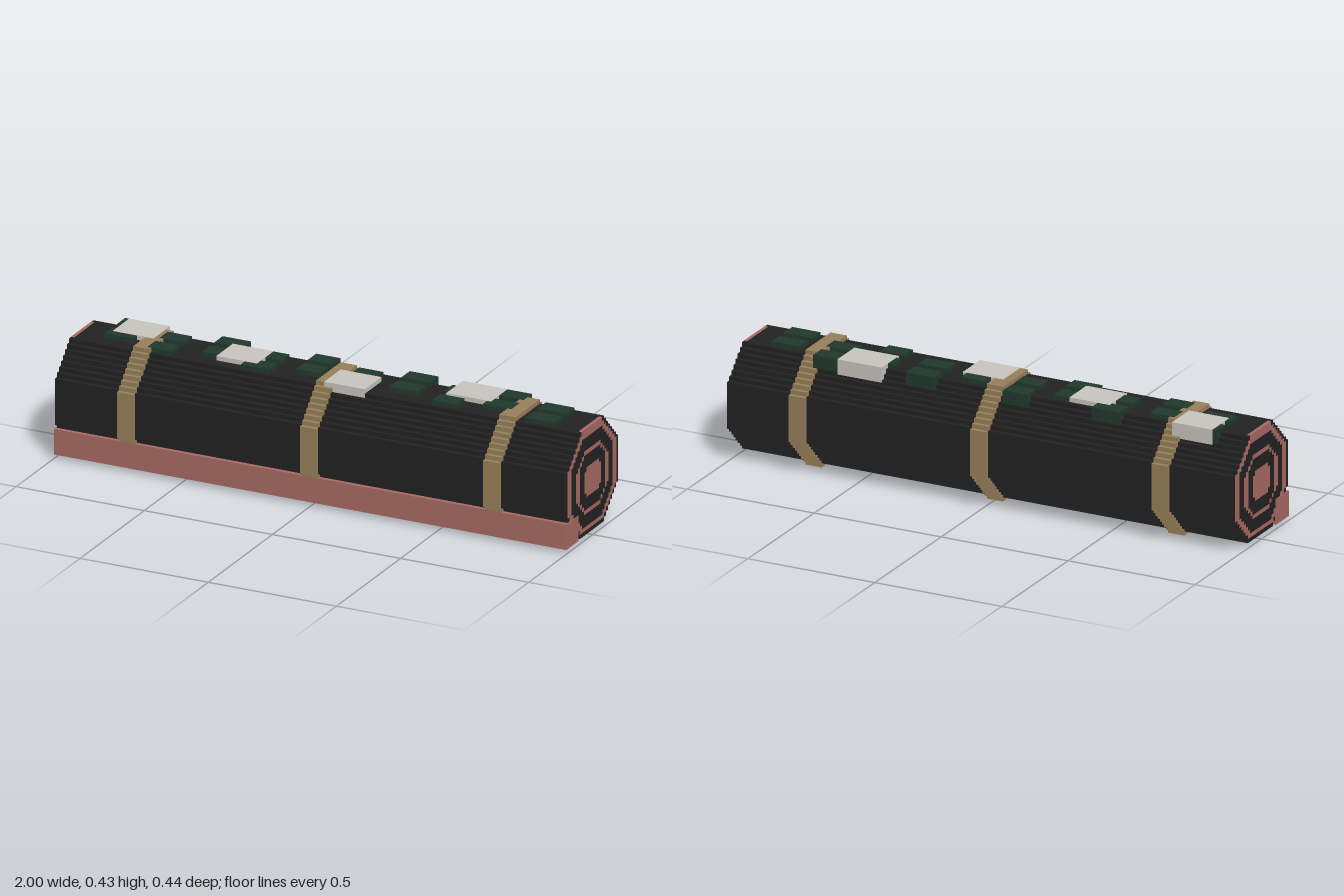
import * as THREE from 'three';

const U = 2 / 126; // size of one block; all numbers below are in blocks

const mat = (name, color) => {
  const m = new THREE.MeshStandardMaterial({ color });
  m.name = name;
  return m;
};

// Stepped octagon: rows j0..j1, half width grows one block per row up to max
function steppedOctagon(j0, j1, max, bottom, top) {
  const right = [], left = [];
  for (let j = j0; j <= j1; j++) {
    const w = Math.min(max, bottom + j - j0, top + j1 - j);
    right.push([w, j], [w, j + 1]);
    left.unshift([-w, j + 1], [-w, j]);
  }
  // drop repeated points along straight sides
  const all = [...right, ...left].filter((p, i, a) => !i || p[0] !== a[i - 1][0] || p[1] !== a[i - 1][1]);
  return new THREE.Shape(all.map(([x, y]) => new THREE.Vector2(x * U, y * U)));
}

export function createModel() {
  const model = new THREE.Group();
  model.name = 'log';
  const bark = mat('charcoal bark', 0x222222);
  const wood = mat('pink wood', 0xa96a64);
  const rope = mat('tan strap', 0x98805a);
  const moss = mat('dark green moss', 0x22392d);
  const pale = mat('pale patch', 0xc9c5be);

  const add = (name, geo, material) => {
    const mesh = new THREE.Mesh(geo, material);
    mesh.name = name;
    model.add(mesh);
  };
  // Profile swept along x from x0 to x1
  const sweep = (name, profile, x0, x1, material) => {
    const geo = new THREE.ExtrudeGeometry(steppedOctagon(...profile), { depth: (x1 - x0) * U, bevelEnabled: false });
    geo.rotateY(Math.PI / 2).translate(x0 * U, 0, 0);
    add(name, geo, material);
  };
  const block = (name, x0, x1, y0, y1, z0, z1, material) => {
    const geo = new THREE.BoxGeometry((x1 - x0) * U, (y1 - y0) * U, (z1 - z0) * U);
    geo.translate((x0 + x1) / 2 * U, (y0 + y1) / 2 * U, (z0 + z1) / 2 * U);
    add(name, geo, material);
  };

  // Trunk and its flat base strip along the front
  sweep('trunk', [1, 25, 13, 6, 6], -62.75, 62.75, bark);
  block('baseStrip', -63, 63, 1, 7, 7, 13, wood);

  // Growth rings on both ends, each a hair prouder than the one around it
  const rings = [
    [[2, 25, 12, 6, 5], wood],
    [[3, 23, 10, 5, 5], bark],
    [[6, 20, 8, 4, 4], wood],
    [[7, 19, 6, 4, 4], bark],
    [[10, 16, 4, 3, 3], wood],
  ];
  for (const side of [-1, 1]) {
    rings.forEach(([profile, material], i) => {
      const a = side * 62.7, b = side * (62.8 + 0.05 * i);
      sweep('endRing', profile, Math.min(a, b), Math.max(a, b), material);
    });
    block('endRim', Math.min(side * 62, side * 62.8), Math.max(side * 62, side * 62.8), 25, 26.04, -5, 5, wood);
  }

  // Straps
  for (const x of [-45, 0, 45]) sweep('strap', [0, 26, 14, 6, 6], x - 2, x + 2, rope);

  // Moss: pairs of pads that alternate between two lanes
  const back = [-8.04, -4], midBack = [-5, -1], mid = [-2, 2], front = [1, 5];
  const pads = [
    [-56, -49, back, mid], [-44, -38, midBack, front], [-32, -25, back, mid],
    [-21, -14, midBack, front], [-9, -3, back, mid], [3, 9, midBack, front],
    [14, 21, back, mid], [26, 32, midBack, front], [37, 44, back, mid],
    [49, 56, midBack, front],
  ];
  for (const [x0, x1, ...lanes] of pads)
    for (const [z0, z1] of lanes) block('mossPad', x0, x1, 24, 27.03, z0, z1, moss);

  // Pale patches lying over the moss
  for (const [x0, x1, z0] of [[-55, -45, -8], [-28, -18, -5], [0, 10, -2], [27, 38, -8]])
    block('palePatch', x0, x1, 23.5, 27.06, z0 - 0.06, z0 + 8.06, pale);

  return model;
}
